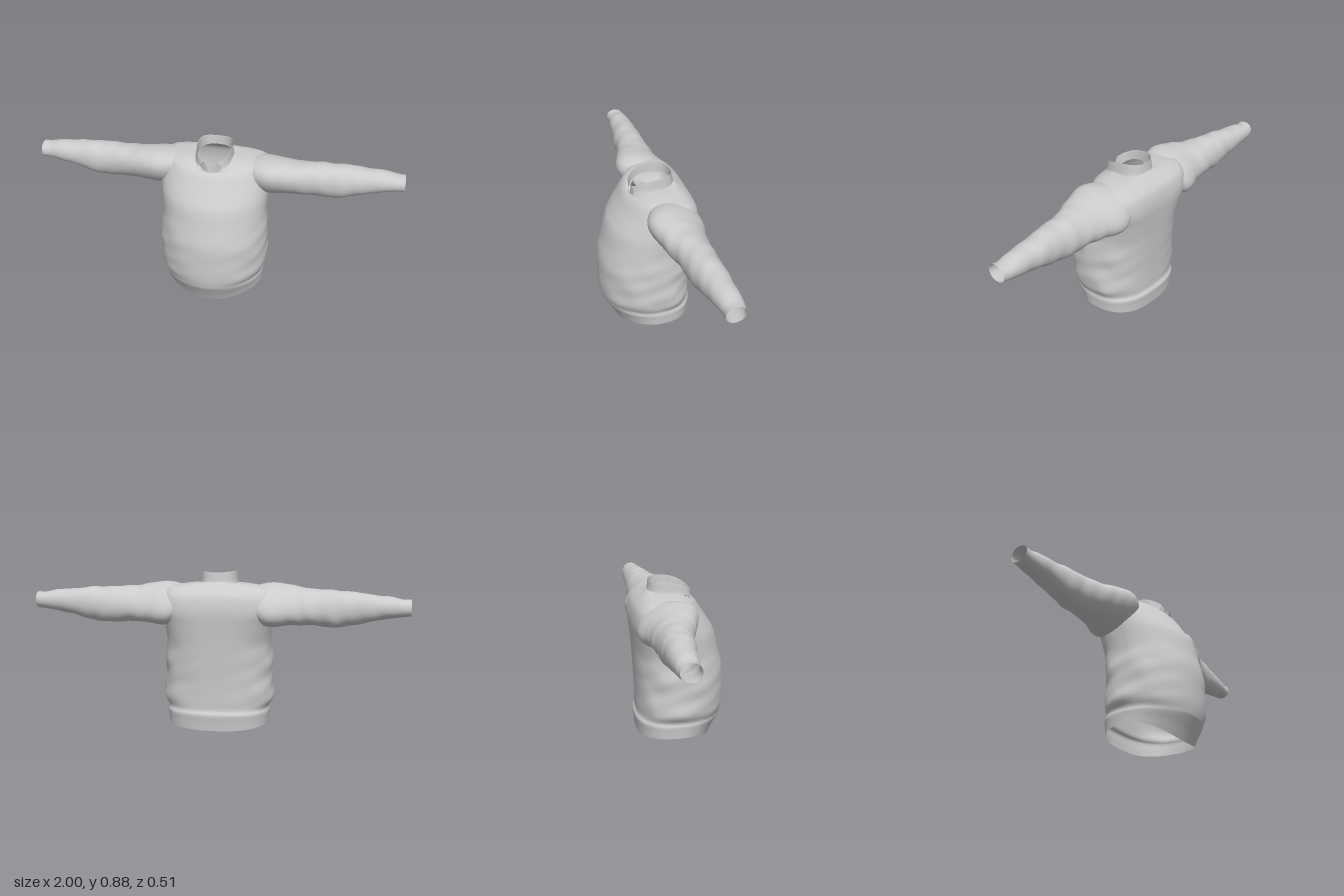
import * as THREE from 'three';

const cloth = new THREE.MeshStandardMaterial({ color: 0xcccccc, side: THREE.DoubleSide });

// Smooth Catmull-Rom blend through rows of numbers, t in 0..1
function sample(rows, t) {
  const p = t * (rows.length - 1);
  const i = Math.min(Math.floor(p), rows.length - 2), f = p - i;
  const row = k => rows[THREE.MathUtils.clamp(k, 0, rows.length - 1)];
  const [a, b, c, d] = [row(i - 1), row(i), row(i + 1), row(i + 2)];
  return b.map((_, k) => b[k] + 0.5 * f * (c[k] - a[k]
    + f * (2 * a[k] - 5 * b[k] + 4 * c[k] - d[k] + f * (3 * (b[k] - c[k]) + d[k] - a[k]))));
}

// Skin over point(u, v); closed rings share their seam, skip() leaves holes
function skin(name, nu, nv, closed, point, skip = () => false) {
  const pos = [], index = [], pts = [];
  const cols = closed ? nu : nu + 1;
  for (let j = 0; j <= nv; j++) {
    for (let i = 0; i < cols; i++) {
      const p = point(i / nu, j / nv);
      pts.push(p);
      pos.push(p.x, p.y, p.z);
    }
  }
  for (let j = 0; j < nv; j++) {
    for (let i = 0; i < nu; i++) {
      const a = j * cols + i, b = j * cols + (i + 1) % cols;
      const c = b + cols, d = a + cols;
      const mid = pts[a].clone().add(pts[c]).multiplyScalar(0.5);
      if (!skip(mid)) index.push(a, b, c, a, c, d);
    }
  }
  const geo = new THREE.BufferGeometry();
  geo.setAttribute('position', new THREE.Float32BufferAttribute(pos, 3));
  geo.setIndex(index);
  geo.computeVertexNormals();
  const mesh = new THREE.Mesh(geo, cloth);
  mesh.name = name;
  return mesh;
}

const power = (v, e) => Math.sign(v) * Math.abs(v) ** e;
const ramp = THREE.MathUtils.smoothstep;

// Torso rings: half width, front z, back z, widest z, front y, side y, back y, back roundness
const torsoRows = [
  [0.274, 0.178, -0.232, -0.02, 0.004, 0.06, 0.04, 0.78],
  [0.277, 0.205, -0.236, -0.02, 0.06, 0.095, 0.085, 0.78],
  [0.28, 0.235, -0.24, -0.02, 0.115, 0.125, 0.125, 0.78],
  [0.278, 0.246, -0.228, -0.02, 0.14, 0.15, 0.15, 0.78],
  [0.298, 0.255, -0.228, -0.01, 0.2, 0.2, 0.2, 0.78],
  [0.294, 0.256, -0.23, 0, 0.3, 0.3, 0.3, 0.78],
  [0.294, 0.252, -0.236, 0, 0.4, 0.4, 0.4, 0.78],
  [0.284, 0.228, -0.242, -0.01, 0.5, 0.5, 0.5, 0.74],
  [0.289, 0.202, -0.25, -0.03, 0.6, 0.6, 0.6, 0.62],
  [0.292, 0.168, -0.254, -0.05, 0.66, 0.66, 0.66, 0.52],
  [0.292, 0.135, -0.25, -0.07, 0.71, 0.71, 0.71, 0.5],
  [0.284, 0.108, -0.236, -0.09, 0.753, 0.76, 0.757, 0.52],
  [0.26, 0.09, -0.206, -0.1, 0.772, 0.797, 0.79, 0.6],
  [0.18, 0.078, -0.178, -0.085, 0.776, 0.814, 0.812, 0.74],
  [0.095, 0.068, -0.16, -0.055, 0.765, 0.82, 0.828, 0.8],
];

function torsoPoint(u, v) {
  const a = u * Math.PI * 2, s = Math.sin(a), c = Math.cos(a);
  const [w, zf, zb, zc, yf, ys, yb, round] = sample(torsoRows, v);
  const front = c > 0;
  const e = front ? 1 : round;
  // Hem and neckline dip mainly at the middle of the front
  const y = ys + ((front ? yf : yb) - ys) * (front ? c ** 3 : c * c);
  // Shallow slanting folds, gathered low on the sides
  const calm = ramp(y, 0.1, 0.2) * (1 - ramp(y, 0.35, 0.6)) * Math.abs(s);
  const fold = 1 + calm * (0.007 * Math.sin(y * 34 + a * 3) + 0.006 * Math.sin(y * 61 - a * 5)
    + 0.006 * Math.sin(y * 17 + a * 9));
  return new THREE.Vector3(
    w * power(s, e) * fold + 0.007 * (1 - ramp(y, 0.45, 0.7)),
    y,
    zc + ((front ? zf : zc * 2 - zb) - zc) * power(c, e) * fold,
  );
}

// Open armhole beneath the sleeve root
const armhole = p => Math.abs(p.x) > 0.245
  && ((p.y - 0.705) / 0.08) ** 2 + ((p.z + 0.095 - 0.4 * (p.y - 0.705)) / 0.1) ** 2 < 1;

// Sleeve rings: x, top y, bottom y, front z, back z, forward lean of the upper half
const sleeveRows = [
  [0.16, 0.795, 0.65, 0.0, -0.2, 0.4],
  [0.21, 0.808, 0.625, 0.025, -0.225, 0.42],
  [0.26, 0.818, 0.6, 0.045, -0.236, 0.45],
  [0.31, 0.819, 0.597, 0.05, -0.23, 0.45],
  [0.37, 0.811, 0.604, 0.038, -0.213, 0.38],
  [0.44, 0.8, 0.607, 0.02, -0.204, 0.28],
  [0.52, 0.793, 0.605, -0.006, -0.2, 0.15],
  [0.62, 0.79, 0.598, -0.022, -0.194, 0.06],
  [0.7, 0.786, 0.61, -0.03, -0.191, 0],
  [0.8, 0.775, 0.635, -0.048, -0.187, 0],
  [0.9, 0.766, 0.655, -0.06, -0.183, 0],
  [0.96, 0.754, 0.664, -0.07, -0.177, 0],
  [1.0, 0.755, 0.667, -0.069, -0.168, 0],
];

function sleevePoint(side, u, v) {
  const a = u * Math.PI * 2;
  const [x, top, bottom, zf, zb, lean] = sample(sleeveRows, v);
  const calm = ramp(x, 0.32, 0.45) * (1 - ramp(x, 0.88, 1));
  const twist = side * Math.sin(a);
  const fold = 1 + calm * (0.016 * Math.sin(x * 37 + twist * 2.5 + side)
    + 0.012 * Math.sin(x * 63 - twist * 3 + Math.cos(a) * 2));
  const dy = (top - bottom) / 2 * power(Math.cos(a), 0.95) * fold;
  return new THREE.Vector3(
    side * x,
    (top + bottom) / 2 + dy + side * 0.005 * ramp(x, 0.4, 1),
    (zf + zb) / 2 + (zf - zb) / 2 * side * power(Math.sin(a), 0.95) * fold + lean * dy,
  );
}

// Folded collar, spread at the throat: outer leaf up, over the fold, down inside
function collarPoint(u, v) {
  const gap = 0.62 - 0.55 * v;
  const a = gap + u * (Math.PI * 2 - gap * 2);
  const f = (1 + Math.cos(a)) / 2;
  const topY = 0.884 - 0.058 * f ** 3 - 0.008 * (1 - f) ** 8;
  const outerY = 0.82 - 0.012 * f - 0.025 * f ** 5;
  const innerY = 0.826 - 0.008 * f - 0.052 * f ** 6;
  const fold = 0.55;
  const up = v < fold;
  const k = up ? v / fold : (v - fold) / (1 - fold);
  const y = up ? THREE.MathUtils.lerp(outerY, topY, Math.sin(k * Math.PI / 2))
    : THREE.MathUtils.lerp(topY, innerY, 1 - Math.cos(k * Math.PI / 2));
  const r = up ? 1.09 - 0.09 * Math.sqrt(k) : 1 - 0.03 * k;
  return new THREE.Vector3(
    0.093 * r * power(Math.sin(a), 0.85),
    y,
    -0.045 + (0.105 + 0.016 * f) * r * power(Math.cos(a), 0.85),
  );
}

export function createModel() {
  const group = new THREE.Group();
  group.name = 'sweater';
  group.add(skin('torso', 128, 112, true, torsoPoint, armhole));
  for (const [name, side] of [['leftSleeve', 1], ['rightSleeve', -1]]) {
    group.add(skin(name, 56, 100, true, (u, v) => sleevePoint(side, u, v)));
  }
  group.add(skin('collar', 64, 16, false, collarPoint));
  return group;
}
